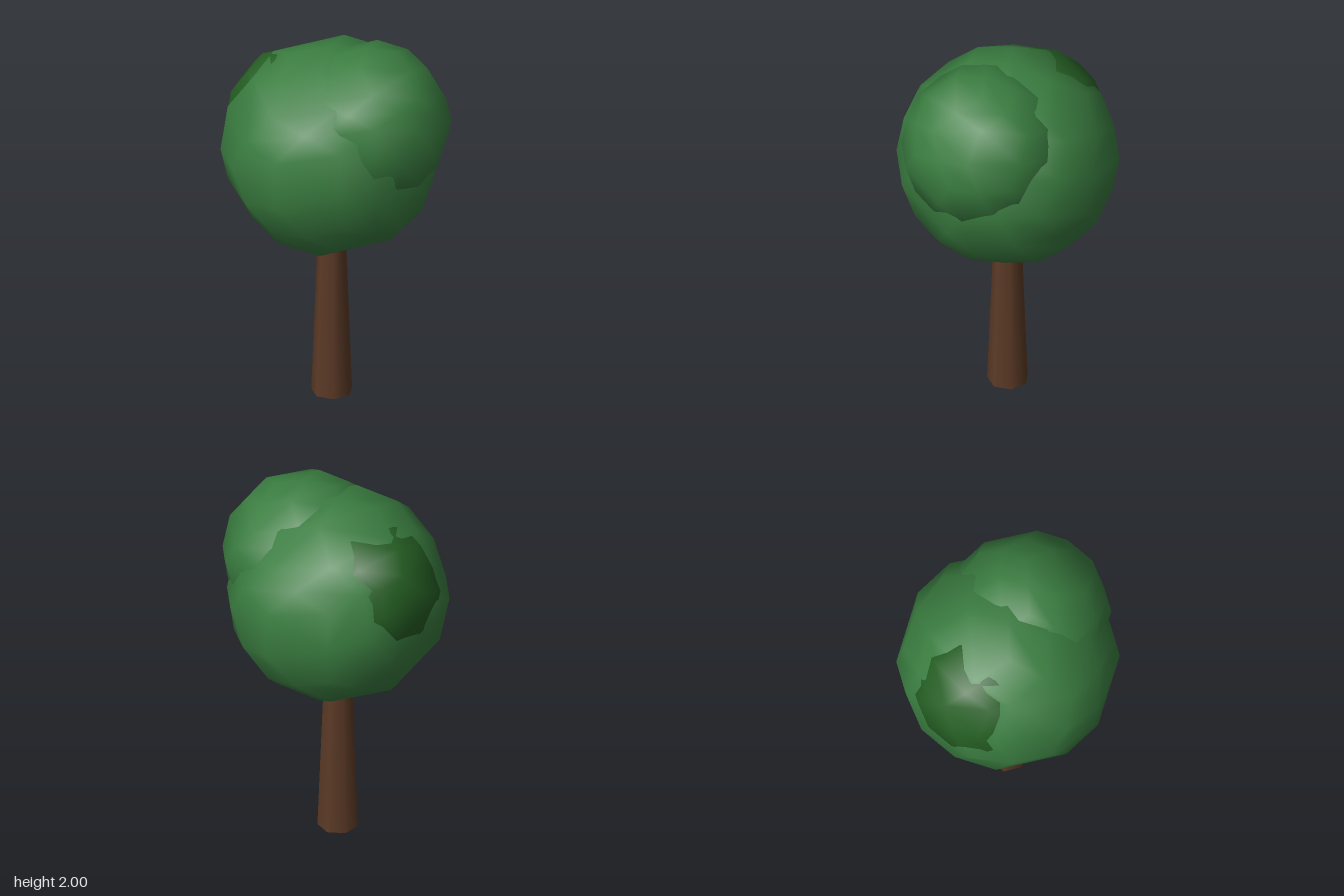
import * as THREE from 'three';

export function createModel() {
  const tree = new THREE.Group();
  tree.name = 'tree';

  const bark = new THREE.MeshStandardMaterial({ color: 0x5c3a26 });
  bark.name = 'brown bark';
  const leaf = new THREE.MeshStandardMaterial({ color: 0x3a7d40 });
  leaf.name = 'leaf green';
  const darkLeaf = new THREE.MeshStandardMaterial({ color: 0x255e23 });
  darkLeaf.name = 'dark leaf green';

  const axisX = -0.017;

  // Tapered seven-sided trunk, its top hidden inside the crown
  const trunkHeight = 0.96;
  const trunk = new THREE.Mesh(new THREE.CylinderGeometry(0.071, 0.107, trunkHeight, 7), bark);
  trunk.name = 'trunk';
  trunk.position.set(axisX, trunkHeight / 2, 0);
  tree.add(trunk);

  // Crown: overlapping low-poly balls, offset from the crown centre
  const crown = new THREE.Group();
  crown.name = 'crown';
  crown.position.set(axisX, 1.396, 0);
  tree.add(crown);

  function addFoliage(name, radius, material, x, y, z) {
    const ball = new THREE.Mesh(new THREE.DodecahedronGeometry(radius, 1), material);
    ball.name = name;
    ball.position.set(x, y, z);
    crown.add(ball);
  }

  addFoliage('mainFoliage', 0.571, leaf, 0, 0, 0);
  addFoliage('frontFoliage', 0.426, leaf, 0.178, 0.178, 0.107);
  addFoliage('backFoliage', 0.392, darkLeaf, -0.143, 0.107, -0.107);

  return tree;
}
